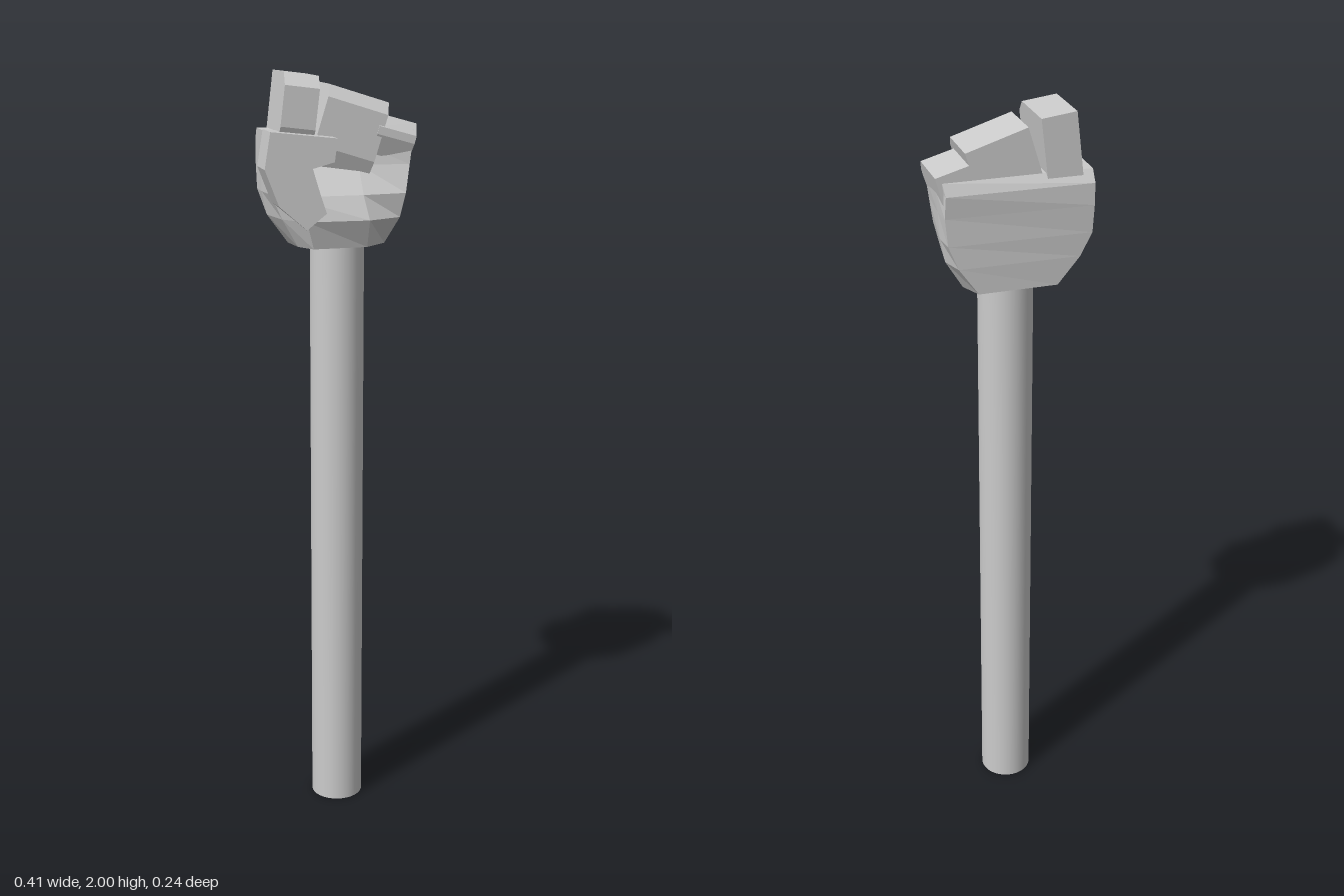
import * as THREE from 'three';

const flat = new THREE.MeshStandardMaterial({ color: 0xcccccc, flatShading: true });
const smooth = new THREE.MeshStandardMaterial({ color: 0xcccccc });

function polygon(points) {
  return new THREE.Shape(points.map(([x, y]) => new THREE.Vector2(x, y)));
}

function addMesh(group, name, geometry, material = flat) {
  const mesh = new THREE.Mesh(geometry, material);
  mesh.name = name;
  group.add(mesh);
  return mesh;
}

// Closed loft through horizontal rings: each ring is { y, pts: [[x, z], ...] }
function loft(rings) {
  const n = rings[0].pts.length;
  const pos = [];
  const index = [];
  for (const { y, pts } of rings) for (const [x, z] of pts) pos.push(x, y, z);
  for (let r = 0; r < rings.length - 1; r++) {
    for (let i = 0; i < n; i++) {
      const j = (i + 1) % n;
      const a = r * n + i, b = r * n + j, c = a + n, d = b + n;
      index.push(a, d, b, a, c, d);
    }
  }
  // End caps
  const top = (rings.length - 1) * n;
  for (let i = 1; i < n - 1; i++) {
    index.push(0, i, i + 1);
    index.push(top, top + i + 1, top + i);
  }
  const geo = new THREE.BufferGeometry();
  geo.setAttribute('position', new THREE.Float32BufferAttribute(pos, 3));
  geo.setIndex(index);
  geo.computeVertexNormals();
  return geo;
}

// Finger block with a bevelled front top edge; origin at its top left corner
function finger(width, length, back, front) {
  const profile = polygon([
    [back, -length], [front - 0.02, -length], [front, -length + 0.05],
    [front, -0.03], [front - 0.03, 0], [back, 0],
  ]);
  const geo = new THREE.ExtrudeGeometry(profile, { depth: width, bevelEnabled: false });
  return geo.rotateY(-Math.PI / 2).translate(width, 0, 0);
}

export function createModel() {
  const model = new THREE.Group();
  model.name = 'handOnPole';

  // Round pole
  const pole = addMesh(model, 'pole', new THREE.CylinderGeometry(0.07, 0.07, 1.6, 32), smooth);
  pole.position.set(0.005, 0.8, -0.011);

  const hand = new THREE.Group();
  hand.name = 'hand';
  model.add(hand);

  // Palm: narrow wrist, bulging heel, hollow front and knuckle ridge at the back
  addMesh(hand, 'palm', loft([
    { y: 1.57, pts: [[-0.1, -0.105], [0.1, -0.105], [0.125, -0.05], [0.12, 0.03], [0.06, 0.09], [-0.08, 0.1], [-0.11, 0.05], [-0.12, -0.03]] },
    { y: 1.64, pts: [[-0.155, -0.11], [0.15, -0.107], [0.168, -0.05], [0.15, 0.07], [0.06, 0.117], [-0.1, 0.117], [-0.15, 0.05], [-0.17, -0.05]] },
    { y: 1.7, pts: [[-0.183, -0.115], [0.175, -0.107], [0.18, -0.05], [0.165, 0.07], [0.05, 0.09], [-0.14, 0.1], [-0.175, 0.04], [-0.183, -0.05]] },
    { y: 1.77, pts: [[-0.185, -0.12], [0.182, -0.107], [0.184, -0.05], [0.178, 0.055], [0.05, 0.035], [-0.08, 0.04], [-0.183, 0.03], [-0.185, -0.05]] },
    { y: 1.825, pts: [[-0.185, -0.12], [0.18, -0.113], [0.188, -0.05], [0.185, 0.055], [0.05, 0.03], [-0.08, 0.03], [-0.185, 0.03], [-0.185, -0.05]] },
    { y: 1.855, pts: [[-0.185, -0.1], [0.185, -0.1], [0.19, -0.05], [0.19, 0.05], [0.05, 0.03], [-0.08, 0.03], [-0.185, 0.03], [-0.185, -0.05]] },
  ]));

  // Thumb folded across the front
  const thumb = polygon([
    [-0.19, 1.86], [-0.205, 1.77], [-0.17, 1.68], [-0.1, 1.62], [-0.05, 1.66],
    [-0.07, 1.72], [-0.085, 1.77], [-0.03, 1.785], [-0.022, 1.842],
  ]);
  const thumbGeo = new THREE.ExtrudeGeometry(thumb, { depth: 0.102, bevelEnabled: false });
  addMesh(hand, 'thumb', thumbGeo.translate(0, 0, 0.015));

  // Fingers: [name, width, length, back, front, x, y, tilt]
  for (const [name, width, length, back, front, x, y, tilt] of [
    ['indexFinger', 0.088, 0.18, -0.108, 0.07, -0.14, 1.998, -0.12],
    ['middleFingers', 0.16, 0.2, -0.1, 0.06, -0.024, 1.968, -0.3],
    ['littleFinger', 0.1, 0.1, -0.1, 0.062, 0.105, 1.895, -0.27],
  ]) {
    const mesh = addMesh(hand, name, finger(width, length, back, front));
    mesh.position.set(x, y, 0);
    mesh.rotation.z = tilt;
  }

  return model;
}
